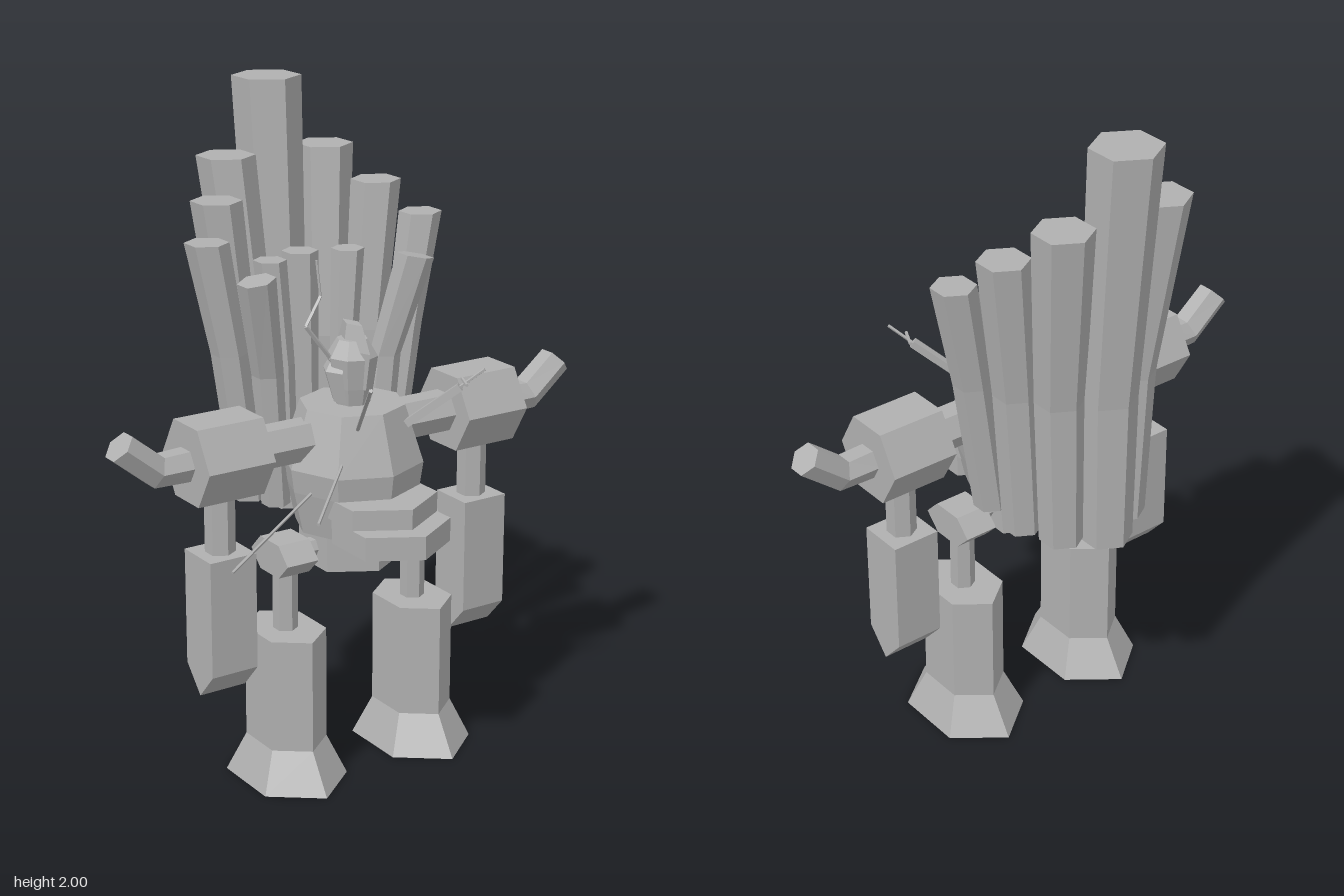
import * as THREE from 'three';

const stone = new THREE.MeshStandardMaterial({ color: 0xb0b0b0 });
stone.name = 'stone grey';

export function createModel() {
  const root = new THREE.Group();
  root.name = 'pipeBackedGolem';
  const CZ = 0.06; // depth of the body's centre line

  function add(name, geo, parent = root) {
    const flat = geo.index ? geo.toNonIndexed() : geo;
    flat.computeVertexNormals();
    const mesh = new THREE.Mesh(flat, stone);
    mesh.name = name;
    parent.add(mesh);
    return mesh;
  }

  // Faceted solid through rings, first ring uppermost: [x, y, z, radius, tilt about z]
  function loft(rings, sides = 6, sx = 1, sz = 1) {
    const n = rings.length - 1;
    const geo = new THREE.CylinderGeometry(1, 1, 1, sides, n);
    const p = geo.attributes.position;
    for (let i = 0; i < p.count; i++) {
      const [x, y, z, r, tilt = 0] = rings[Math.round((0.5 - p.getY(i)) * n)];
      const dx = p.getX(i) * r * sx;
      p.setXYZ(i, x + dx * Math.cos(tilt), y + dx * Math.sin(tilt), z + p.getZ(i) * r * sz);
    }
    return geo;
  }

  // Prism lying along x between x0 and x1
  const crossBar = (x0, x1, y, r, sx = 1, sz = 1) => loft(
    [[Math.max(x0, x1), y, CZ, r, -Math.PI / 2], [Math.min(x0, x1), y, CZ, r, -Math.PI / 2]], 6, sx, sz);

  // Straight rod between two points
  function rod(name, a, b, r, sides = 5) {
    const A = new THREE.Vector3(...a), B = new THREE.Vector3(...b), d = B.clone().sub(A);
    const mesh = add(name, new THREE.CylinderGeometry(r, r, d.length(), sides));
    mesh.position.copy(A).add(B).multiplyScalar(0.5);
    mesh.quaternion.setFromUnitVectors(new THREE.Vector3(0, 1, 0), d.normalize());
  }

  // Torso, lap slabs and pelvis
  add('torso', loft([[0, 1.12, 0.07, 0.155], [0, 0.95, 0.07, 0.21], [0, 0.88, 0.07, 0.2], [0, 0.75, 0.07, 0.17]], 8));
  add('upperBellySlab', loft([[0, 0.88, 0.205, 0.17], [0, 0.82, 0.205, 0.17]]));
  add('lowerBellySlab', loft([[0, 0.82, 0.27, 0.17], [0, 0.75, 0.27, 0.17]]));
  add('pelvis', loft([[0, 0.755, CZ, 0.15], [0, 0.64, CZ, 0.15]]));

  // Head with a narrow crest and cheek guards
  add('head', loft([[0, 1.31, 0.07, 0.045], [0, 1.26, 0.07, 0.075], [0, 1.17, 0.07, 0.062], [0, 1.11, 0.07, 0.05]], 8));
  add('crest', loft([[0, 1.355, 0.07, 0.05], [0, 1.28, 0.075, 0.085], [0, 1.17, 0.07, 0.07]], 4, 0.4, 1));
  for (const s of [-1, 1]) {
    add('cheekGuard', loft([[s * 0.04, 1.27, 0.06, 0.03], [s * 0.06, 1.22, 0.06, 0.05], [s * 0.045, 1.13, 0.07, 0.035]], 4, 0.5, 1));
  }

  // Back pipes: [top xyz, radius, bend xyz, bottom xyz]
  const pipes = [
    [[0, 2, -0.382], 0.103, [0, 1.22, -0.33], [0, 0.75, -0.33]],
    [[0.17, 1.79, -0.335], 0.087, [0.13, 1.23, -0.275], [0.115, 0.76, -0.27]],
    [[0.275, 1.69, -0.215], 0.075, [0.225, 1.25, -0.195], [0.195, 0.79, -0.19]],
    [[0.367, 1.6, -0.115], 0.064, [0.305, 1.27, -0.105], [0.245, 0.845, -0.105]],
    [[0, 1.51, -0.205], 0.054, [0, 1.2, -0.19], [0, 0.76, -0.18]],
    [[0.135, 1.51, -0.155], 0.049, [0.11, 1.2, -0.14], [0.1, 0.76, -0.13]],
    [[0.272, 1.5, -0.005], 0.056, [0.205, 1.2, -0.06], [0.175, 0.8, -0.07]],
  ];
  pipes.forEach(([top, r, bend, bottom], i) => {
    for (const s of top[0] ? [-1, 1] : [1]) {
      const ring = (c, k, tilt = 0) => [s * c[0], c[1], c[2], r * k, s * tilt];
      add('backPipe', loft([ring(top, 1, i === 6 ? -0.2 : 0), ring(bend, 0.83), ring(bottom, 0.76)]));
    }
  });

  for (const s of [-1, 1]) {
    // Arm: axle, shoulder drum, upturned horn and hanging forearm
    const arm = new THREE.Group();
    arm.name = s > 0 ? 'leftArm' : 'rightArm';
    root.add(arm);
    add('shoulderAxle', crossBar(s * 0.12, s * 0.34, 1.032, 0.064), arm);
    add('shoulderDrum', crossBar(s * 0.335, s * 0.548, 1.033, 0.13), arm);
    const horn = [
      [0.755, 1.12, CZ, 0.049, -0.8],
      [0.645, 1.03, CZ, 0.051, -1.18],
      [0.54, 1.03, CZ, 0.051, -Math.PI / 2],
    ].map(([x, y, z, r, t]) => [s * x, y, z, r, s * t]);
    // Rings run from the tip inward; a tilt of either sign keeps the faces outward
    add('shoulderHorn', loft(horn), arm);
    add('elbowPost', loft([[s * 0.443, 0.94, CZ, 0.044], [s * 0.443, 0.74, CZ, 0.044]]), arm);
    const outline = new THREE.Shape([[-0.072, 0.75], [-0.072, 0.4], [0, 0.32], [0.072, 0.4], [0.072, 0.75]]
      .map(([x, y]) => new THREE.Vector2(x, y)));
    const forearm = new THREE.ExtrudeGeometry(outline, { depth: 0.15, bevelEnabled: false });
    forearm.translate(0, 0, -0.075).rotateY(Math.PI / 2).translate(s * 0.443, 0, CZ);
    add('forearm', forearm, arm);

    // Leg: hip, thin thigh and flared boot
    const leg = new THREE.Group();
    leg.name = s > 0 ? 'leftLeg' : 'rightLeg';
    root.add(leg);
    add('hipAxle', crossBar(s * 0.1, s * 0.19, 0.695, 0.03), leg);
    add('hipJoint', crossBar(s * 0.175, s * 0.28, 0.695, 0.058, 1, 1.7), leg);
    add('thigh', loft([[s * 0.227, 0.68, CZ, 0.037], [s * 0.227, 0.46, CZ, 0.037]]), leg);
    add('boot', loft([
      [s * 0.227, 0.465, CZ, 0.145], [s * 0.227, 0.12, CZ, 0.145], [s * 0.227, 0, CZ, 0.219],
    ], 6, 0.755, 1), leg);
  }

  // Shafts stuck in the torso
  rod('shaft', [-0.55, 0.79, 0.305], [-0.17, 0.89, 0.12], 0.005);
  rod('shaft', [-0.385, 0.95, 0.48], [-0.12, 0.99, 0.2], 0.005);
  rod('shaft', [-0.2, 1.285, 0.455], [-0.07, 1.08, 0.2], 0.006);

  // Blade stuck in the chest: thick blade, thin grip and short guard
  rod('bladeBody', [0.1, 1.07, 0.2], [0.215, 1.185, 0.3], 0.016, 4);
  rod('bladeGrip', [0.215, 1.185, 0.3], [0.267, 1.24, 0.345], 0.005);
  rod('bladeGuard', [0.21, 1.2, 0.338], [0.24, 1.2, 0.275], 0.005);

  // Jagged spike on the head
  const jag = [[-0.03, 1.24, 0.06], [-0.07, 1.26, 0.06], [-0.145, 1.36, 0.05], [-0.092, 1.44, 0.045], [-0.102, 1.545, 0.04]];
  for (let i = 1; i < jag.length; i++) rod('jaggedSpike', jag[i - 1], jag[i], 0.009 - i * 0.0012, 4);

  return root;
}
